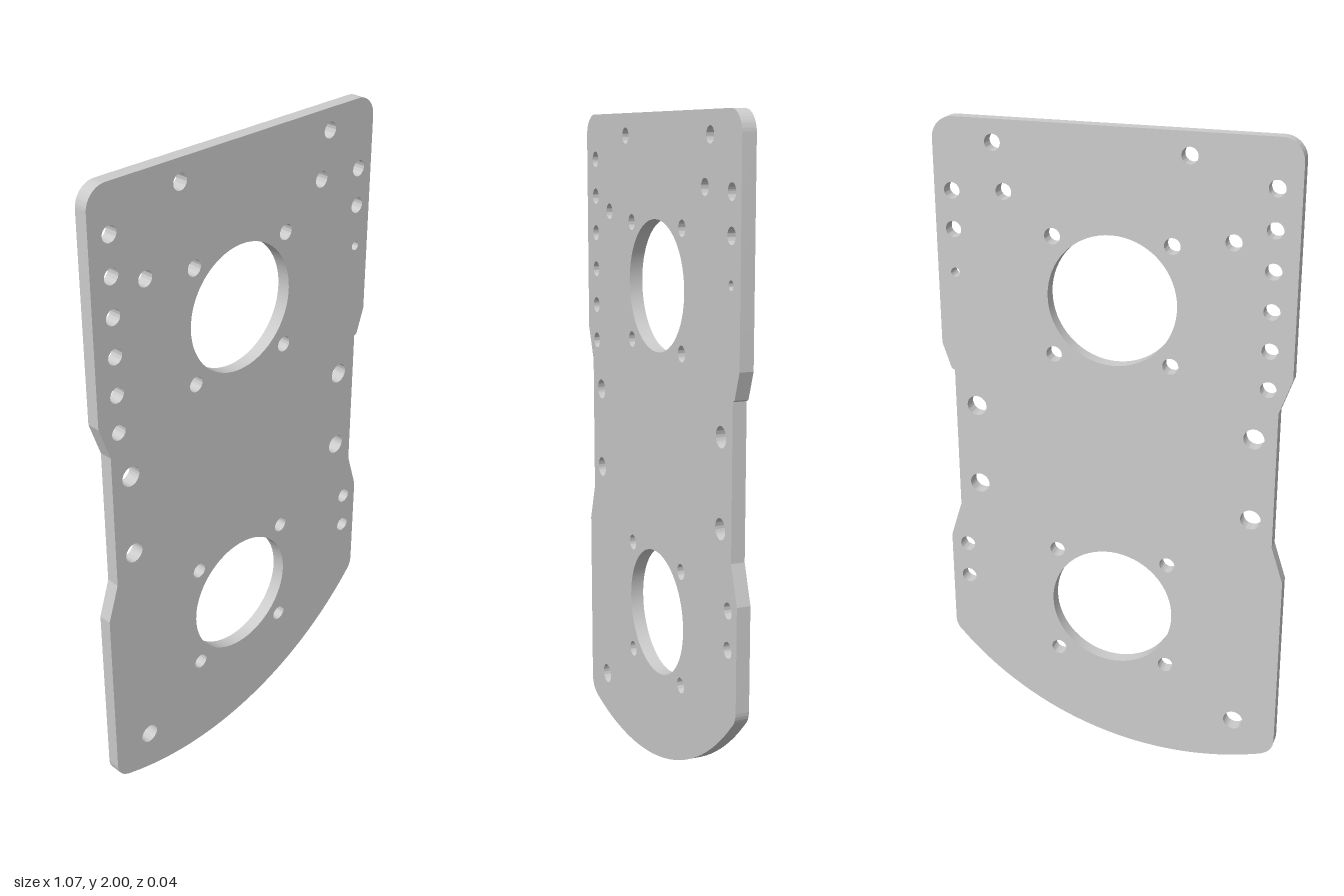
import * as THREE from 'three';
import { toCreasedNormals } from 'three/addons/utils/BufferGeometryUtils.js';

const THICKNESS = 0.042;

// Outer contour, counter-clockwise from the lower left corner
function plateOutline() {
  const w = 0.537, waist = 0.5, r = 0.065;
  const cx = -0.2, R = 0.967; // large bottom arc
  const arcY = (x) => R - Math.sqrt(R * R - (x - cx) ** 2);
  const angle = (x) => Math.atan2(arcY(x) - R, x - cx);
  const s = new THREE.Shape();
  s.moveTo(-0.49, arcY(-0.49));
  s.absarc(cx, R, R, angle(-0.49), angle(0.515), false);
  s.quadraticCurveTo(w, 0.335, w, 0.365);
  s.lineTo(w, 0.67);
  s.lineTo(waist, 0.785);
  s.lineTo(waist, 1.235);
  s.lineTo(0.51, 1.24);
  s.lineTo(w, 1.32);
  s.lineTo(w, 2 - r);
  s.absarc(w - r, 2 - r, r, 0, Math.PI / 2, false);
  s.lineTo(-w + r, 2);
  s.absarc(-w + r, 2 - r, r, Math.PI / 2, Math.PI, false);
  s.lineTo(-w, 1.32);
  s.lineTo(-waist, 1.215);
  s.lineTo(-waist, 0.785);
  s.lineTo(-w, 0.67);
  s.lineTo(-w, 0.105);
  s.quadraticCurveTo(-w, 0.06, -0.49, arcY(-0.49));
  return s;
}

export function createModel() {
  const group = new THREE.Group();
  const shape = plateOutline();
  const hole = (x, y, r) => shape.holes.push(new THREE.Path().absarc(x, y, r, 0, Math.PI * 2, true));

  // Two large bores, each with four bolt holes
  for (const y of [1.5, 0.495]) {
    hole(0, y, 0.195);
    for (const sx of [-1, 1]) for (const sy of [-1, 1]) hole(sx * 0.178, y + sy * 0.178, 0.024);
  }
  // Waist mounting holes and the lower corner hole
  for (const x of [-0.432, 0.432]) for (const y of [0.867, 1.127]) hole(x, y, 0.031);
  hole(-0.403, 0.154, 0.031);
  // Evenly spaced column on the right edge
  for (let i = 0; i < 6; i++) hole(-0.467, 1.284 + i * 0.1155, 0.024);
  // Column on the left edge
  for (const y of [0.53, 0.645, 1.674, 1.788]) hole(0.483, y, 0.024);
  hole(0.483, 1.544, 0.014);
  // Scattered upper holes
  for (const [x, y] of [[-0.223, 1.934], [0.353, 1.934], [0.323, 1.796], [-0.353, 1.703]]) hole(x, y, 0.024);

  const geometry = new THREE.ExtrudeGeometry(shape, { depth: THICKNESS, bevelEnabled: false, curveSegments: 32 });
  geometry.translate(0, 0, -THICKNESS / 2);
  const plate = new THREE.Mesh(
    toCreasedNormals(geometry, 0.3),
    new THREE.MeshStandardMaterial({ color: 0xcccccc })
  );
  plate.name = 'mountingPlate';
  group.add(plate);
  return group;
}
